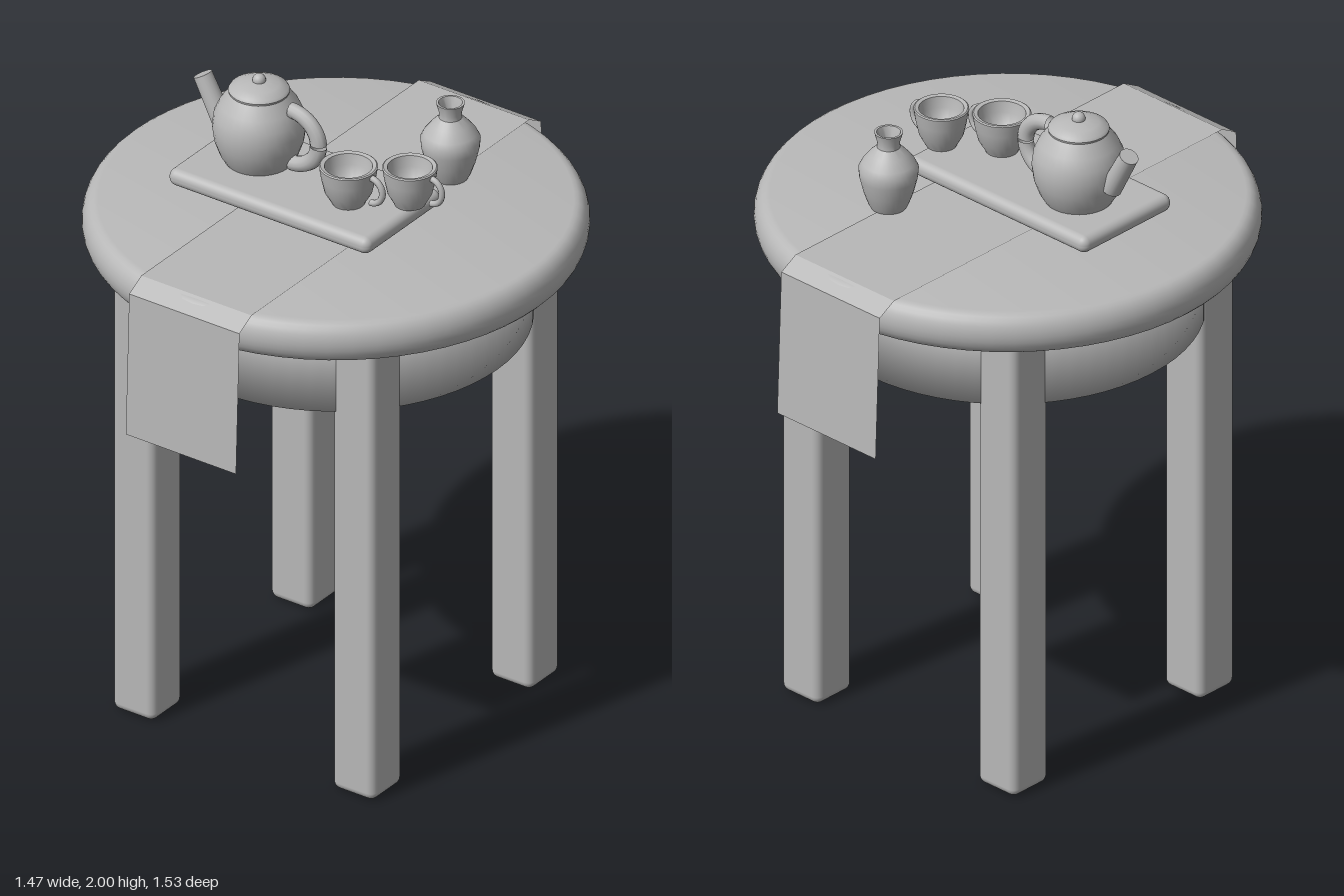
import * as THREE from 'three';
import { RoundedBoxGeometry } from 'three/addons/geometries/RoundedBoxGeometry.js';
import { mergeVertices, toCreasedNormals } from 'three/addons/utils/BufferGeometryUtils.js';

export function createModel() {
  const model = new THREE.Group();
  const grey = new THREE.MeshStandardMaterial({ color: 0xb8b8b8, side: THREE.DoubleSide });
  grey.name = 'plain grey';

  const add = (name, geometry, x = 0, y = 0, z = 0, parent = model) => {
    const mesh = new THREE.Mesh(geometry, grey);
    mesh.name = name;
    mesh.position.set(x, y, z);
    parent.add(mesh);
    return mesh;
  };
  const addGroup = (name, x, y, z) => {
    const group = new THREE.Group();
    group.name = name;
    group.position.set(x, y, z);
    model.add(group);
    return group;
  };
  // Turned part from [radius, height] pairs, listed from the bottom up
  const turned = (points, sides = 32) => toCreasedNormals(
    new THREE.LatheGeometry(points.map(([r, y]) => new THREE.Vector2(r, y)), sides), 0.6);

  // Round table top with a rolled edge
  const edge = [[0, 1.515]];
  for (let i = 0; i <= 12; i++) {
    const a = -Math.PI / 2 + (i / 12) * Math.PI;
    edge.push([0.69 + 0.047 * Math.cos(a), 1.5815 + 0.0665 * Math.sin(a)]);
  }
  edge.push([0, 1.648]);
  add('tableTop', turned(edge, 64));

  // Drum below the top, softly shaded over its rim
  let drum = new THREE.CylinderGeometry(0.574, 0.574, 0.25, 64);
  drum.deleteAttribute('uv');
  drum.deleteAttribute('normal');
  drum = mergeVertices(drum);
  drum.computeVertexNormals();
  add('apron', drum, 0, 1.395, 0);

  // Four square legs
  for (const x of [-1, 1]) for (const z of [-1, 1]) {
    add('leg', new RoundedBoxGeometry(0.15, 1.51, 0.15, 3, 0.025), x * 0.392, 0.755, z * 0.392);
  }

  // Cloth runner: thin sheet following the top and hanging at both ends
  const fold = [[0.767, 1.155], [0.75, 1.618], [0.69, 1.651]];
  const path = [...fold, ...fold.map(([z, y]) => [-z, y]).reverse()];
  const sheet = new THREE.PlaneGeometry(0.393, 1, 1, path.length - 1);
  const pos = sheet.attributes.position;
  for (let i = 0; i < pos.count; i++) {
    const [z, y] = path[path.length - 1 - Math.floor(i / 2)];
    pos.setY(i, y);
    pos.setZ(i, z);
  }
  add('runner', toCreasedNormals(sheet, 0.2), -0.003, 0, 0);

  // Tray
  add('tray', new RoundedBoxGeometry(0.717, 0.054, 0.375, 4, 0.025), -0.075, 1.687, 0.052);

  // Teapot
  const pot = addGroup('teapot', -0.249, 1.715, 0.035);
  add('potBody', turned([
    [0, 0], [0.1, 0], [0.115, 0.025], [0.131, 0.07], [0.137, 0.115],
    [0.132, 0.155], [0.116, 0.19], [0.088, 0.228], [0, 0.228],
  ]), 0, 0, 0, pot);
  add('potLid', turned([
    [0, 0.226], [0.088, 0.226], [0.09, 0.234], [0.085, 0.242],
    [0.06, 0.254], [0.03, 0.261], [0, 0.263],
  ]), 0, 0, 0, pot);
  add('lidKnob', new THREE.SphereGeometry(0.02, 16, 12), 0, 0.265, 0, pot);
  const spout = add('spout', new THREE.CylinderGeometry(0.029, 0.032, 0.15, 20), -0.166, 0.15, 0, pot);
  spout.rotation.z = 0.49;
  // Handle in an upper and a lower half, with a narrow gap between
  for (const start of [0.04, -Math.PI / 2]) {
    const half = new THREE.TorusGeometry(0.092, 0.025, 12, 12, Math.PI / 2 - 0.04).rotateZ(start);
    half.scale(1.06, 0.95, 0.88);
    add('potHandle', half, 0.114, 0.115, 0, pot);
  }

  // Two cups with hollow bowls
  for (const [x, z, s] of [[0.106, 0.086, 1], [0.255, -0.012, 0.94]]) {
    const cup = addGroup('cup', x, 1.715, z);
    add('cupBowl', turned([
      [0, 0], [0.048, 0], [0.053, 0.01], [0.07, 0.04], [0.08, 0.085], [0.086, 0.124],
      [0.082, 0.127], [0.07, 0.124], [0.064, 0.09], [0.05, 0.055], [0.025, 0.037], [0, 0.032],
    ]), 0, 0, 0, cup);
    const ring = new THREE.TorusGeometry(0.042, 0.01, 10, 20, Math.PI).rotateZ(-Math.PI / 2);
    add('cupHandle', ring, 0.079, 0.068, 0, cup);
    cup.scale.set(s, 0.98, s);
  }

  // Small vase with a flared neck
  add('vase', turned([
    [0, 0], [0.052, 0], [0.06, 0.015], [0.074, 0.055], [0.085, 0.1], [0.088, 0.13], [0.078, 0.15],
    [0.056, 0.178], [0.034, 0.2], [0.033, 0.215], [0.042, 0.248],
    [0.035, 0.248], [0.025, 0.215], [0.022, 0.17], [0, 0.165],
  ]), 0.195, 1.65, -0.297);

  return model;
}
